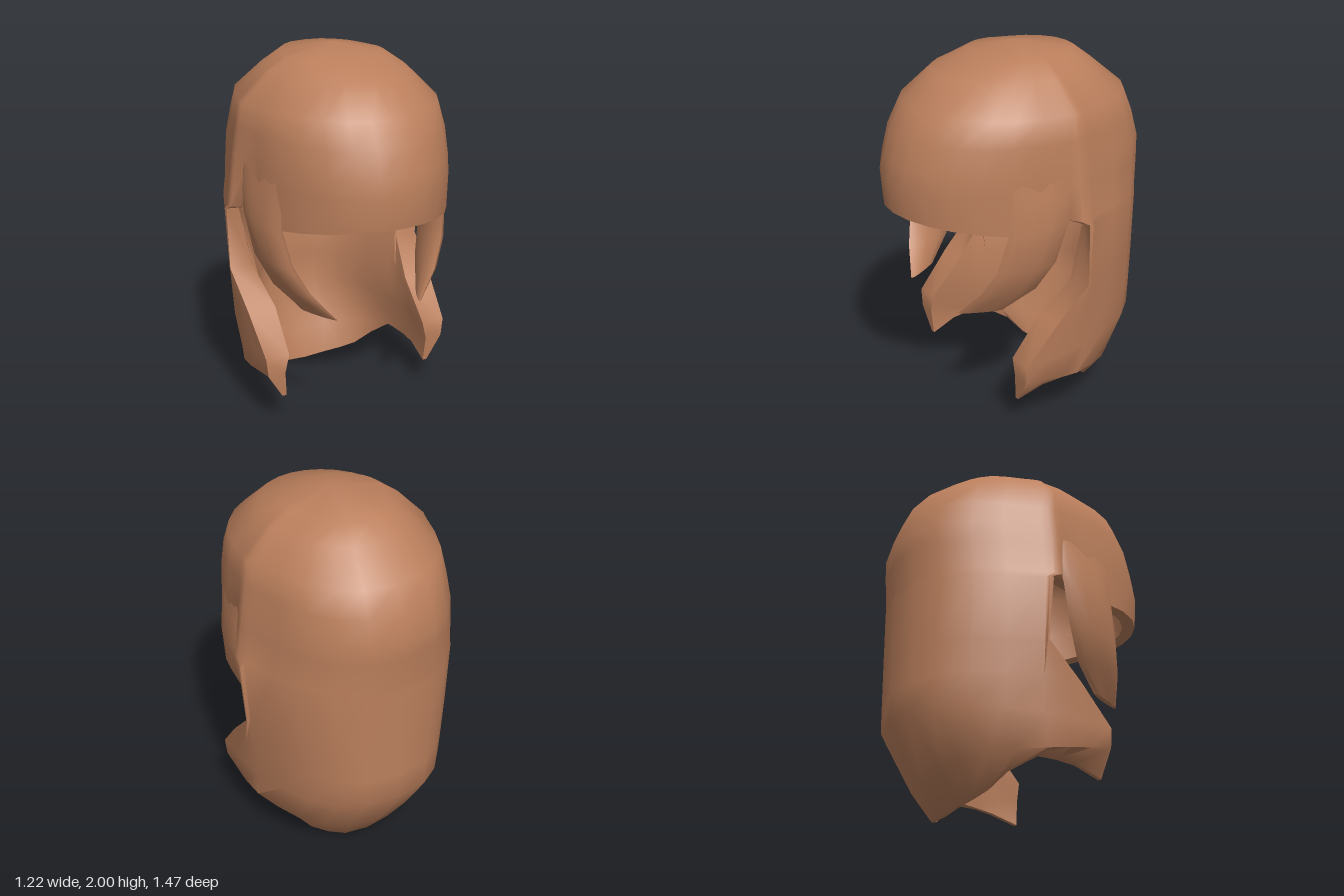
import * as THREE from 'three';
import { toCreasedNormals } from 'three/addons/utils/BufferGeometryUtils.js';

const lerp = THREE.MathUtils.lerp;
const V = (x, y, z) => new THREE.Vector3(x, y, z);

// collects quads (dropping empty triangles) into one creased geometry
function quadBuilder() {
  const pos = [];
  const tri = (a, b, c) => {
    const area = b.clone().sub(a).cross(c.clone().sub(a)).length();
    if (area > 1e-7) for (const p of [a, b, c]) pos.push(p.x, p.y, p.z);
  };
  return {
    quad(a, b, c, d) { tri(a, b, c); tri(a, c, d); },
    build(angle) {
      const g = new THREE.BufferGeometry();
      g.setAttribute('position', new THREE.Float32BufferAttribute(pos, 3));
      return toCreasedNormals(g, angle);
    },
  };
}

// cap rows: height, half width in front, half width behind, back z, front z
const CAP = [
  [2.0, 0, 0, -0.02, -0.02], [1.95, 0.27, 0.27, -0.36, 0.2], [1.88, 0.365, 0.375, -0.45, 0.43],
  [1.73, 0.515, 0.525, -0.63, 0.6], [1.6, 0.535, 0.545, -0.69, 0.675], [1.46, 0.545, 0.567, -0.73, 0.715],
  [1.36, 0.545, 0.58, -0.725, 0.735], [1.18, 0.545, 0.6, -0.71, 0.72],
];
// back curtain rows: back height, edge height, half width, back z, front edge z, thickness
const CURTAIN = [
  [1.15, 1.15, 0.608, -0.71, -0.09, 0.07], [0.8, 0.8, 0.588, -0.71, -0.11, 0.13],
  [0.61, 0.61, 0.572, -0.71, 0.08, 0.16], [0.46, 0.4, 0.556, -0.71, 0.26, 0.135],
  [0.16, 0.3, 0.545, -0.53, 0.26, 0.1],
];
// lower hem, from the back centre to the forward side tip
const HEM = [
  [0, 0, -0.41], [0.14, 0.012, -0.4], [0.23, 0.035, -0.36], [0.31, 0.07, -0.31], [0.39, 0.15, -0.24],
  [0.45, 0.235, -0.13], [0.47, 0.225, 0], [0.475, 0.21, 0.1], [0.46, 0.16, 0.25],
];
// share of the half width reached by each column, from the back centre to the side
const BACK_X = [0, 0.33, 0.55, 0.75, 0.87, 0.97, 1, 1, 1];
const EDGE = 8, LAST = 15, CAP_CELLS = CAP.length - 1, ROWS = CAP.length + CURTAIN.length + 1;

// angle round the head, 0 at the back and 180 degrees at the front
function columnAngle(k) {
  const deg = k <= 5 ? k * 16 : k <= EDGE ? 80 + (k - 5) * 10 / 3 : 90 + (k - EDGE) * 90 / 7;
  return deg * Math.PI / 180;
}

// outer and inner surface points of row i, column j
function shellPoint(i, j) {
  const k = Math.abs(j), side = Math.sign(j), a = columnAngle(k);
  const s = Math.abs(Math.sin(a)), c = Math.cos(a);
  if (i < CAP.length) {
    const [h, wf, wb, zb, zf] = CAP[i];
    const hem = i === CAP_CELLS;
    const y = hem && k > EDGE ? lerp(1.14, 1.2, Math.max(0, (-c - 0.45) / 0.55)) : h;
    const x = k < EDGE ? wb * BACK_X[k] : wf * s;
    const out = V(side * x, y, i === 0 ? zb : c > 0 ? zb * c : -zf * c);
    const inner = V(out.x * 0.88, hem ? y : 1.25 + (y - 1.25) * 0.9, out.z * 0.9);
    return { out, inner };
  }
  const row = CURTAIN[i - CAP.length];
  let out, t = 0.025;
  if (row) {
    const [yb, ye, w, zb, ze, thick] = row;
    const z = k <= 5 ? zb * c : lerp(zb * Math.cos(columnAngle(5)), ze, (k - 5) / 3);
    out = V(side * w * BACK_X[k], lerp(yb, ye, k / EDGE), z);
    t = thick;
  } else {
    const [x, y, z] = HEM[k];
    out = V(side * x, y, z);
  }
  return { out, inner: out.clone().add(V(-side * s * t, 0, c * t)) };
}

// thick shell: cap, fringe and long back in one smooth surface
function shellGeometry() {
  const grid = [];
  for (let i = 0; i < ROWS; i++) {
    grid.push([]);
    for (let j = -LAST; j <= LAST; j++) {
      const used = Math.abs(j) <= EDGE || i < CAP.length;
      grid[i].push(used ? shellPoint(i, j) : null);
    }
  }
  const valid = (i, j) => i < CAP_CELLS || (i < ROWS - 1 && j >= -EDGE && j < EDGE);
  const b = quadBuilder();
  const rim = (p, q) => b.quad(p.out, q.out, q.inner, p.inner);
  for (let i = 0; i < ROWS - 1; i++) {
    for (let j = -LAST; j < LAST; j++) {
      if (!valid(i, j)) continue;
      const n = j + LAST;
      const p = grid[i][n], q = grid[i + 1][n], r = grid[i + 1][n + 1], s = grid[i][n + 1];
      b.quad(p.out, s.out, r.out, q.out);
      b.quad(p.inner, q.inner, r.inner, s.inner);
      if (!valid(i + 1, j)) rim(q, r);
      if (i >= CAP_CELLS && j === EDGE - 1) rim(r, s);
      if (i >= CAP_CELLS && j === -EDGE) rim(p, q);
    }
  }
  return b.build(1.0);
}

// side lock sections: front edge xyz, back edge xyz, half thickness
const LOCK = [
  [0.482, 1.47, 0.32, 0.54, 1.47, 0, 0.006], [0.484, 1.3, 0.325, 0.545, 1.32, -0.01, 0.026],
  [0.488, 1.14, 0.33, 0.55, 1.18, 0, 0.036], [0.45, 0.94, 0.375, 0.515, 0.95, 0.055, 0.042],
  [0.375, 0.8, 0.43, 0.45, 0.79, 0.135, 0.036], [0.25, 0.66, 0.49, 0.36, 0.67, 0.285, 0.014],
];

function lockGeometry(side) {
  const N = 10;
  const rings = LOCK.map(([fx, fy, fz, bx, by, bz, t]) => {
    const f = V(fx, fy, fz), e = V(bx, by, bz);
    const mid = f.clone().add(e).multiplyScalar(0.5);
    const half = f.clone().sub(e).multiplyScalar(0.5);
    const normal = V(half.z, 0, -half.x).normalize();
    return Array.from({ length: N }, (_, n) => {
      const a = n / N * Math.PI * 2;
      const p = mid.clone().addScaledVector(half, Math.cos(a)).addScaledVector(normal, Math.sin(a) * t);
      p.x *= side;
      return p;
    });
  });
  const b = quadBuilder();
  const add = (p, q, r, s) => (side > 0 ? b.quad(p, q, r, s) : b.quad(s, r, q, p));
  for (let i = 0; i < rings.length - 1; i++) {
    for (let n = 0; n < N; n++) {
      const m = (n + 1) % N;
      add(rings[i][n], rings[i][m], rings[i + 1][m], rings[i + 1][n]);
    }
  }
  // end caps
  const top = rings[0], tip = rings[rings.length - 1];
  for (let n = 1; n < N - 1; n++) {
    add(top[0], top[n + 1], top[n], top[0]);
    add(tip[0], tip[n], tip[n + 1], tip[0]);
  }
  return b.build(0.8);
}

export function createModel() {
  const model = new THREE.Group();
  model.name = 'hair';
  const brown = new THREE.MeshStandardMaterial({ color: 0xbb7f5c, side: THREE.DoubleSide });
  brown.name = 'warm brown';

  const shell = new THREE.Mesh(shellGeometry(), brown);
  shell.name = 'hairCapAndBack';
  model.add(shell);

  for (const side of [1, -1]) {
    const lock = new THREE.Mesh(lockGeometry(side), brown);
    lock.name = side > 0 ? 'leftSideLock' : 'rightSideLock';
    model.add(lock);
  }
  return model;
}
